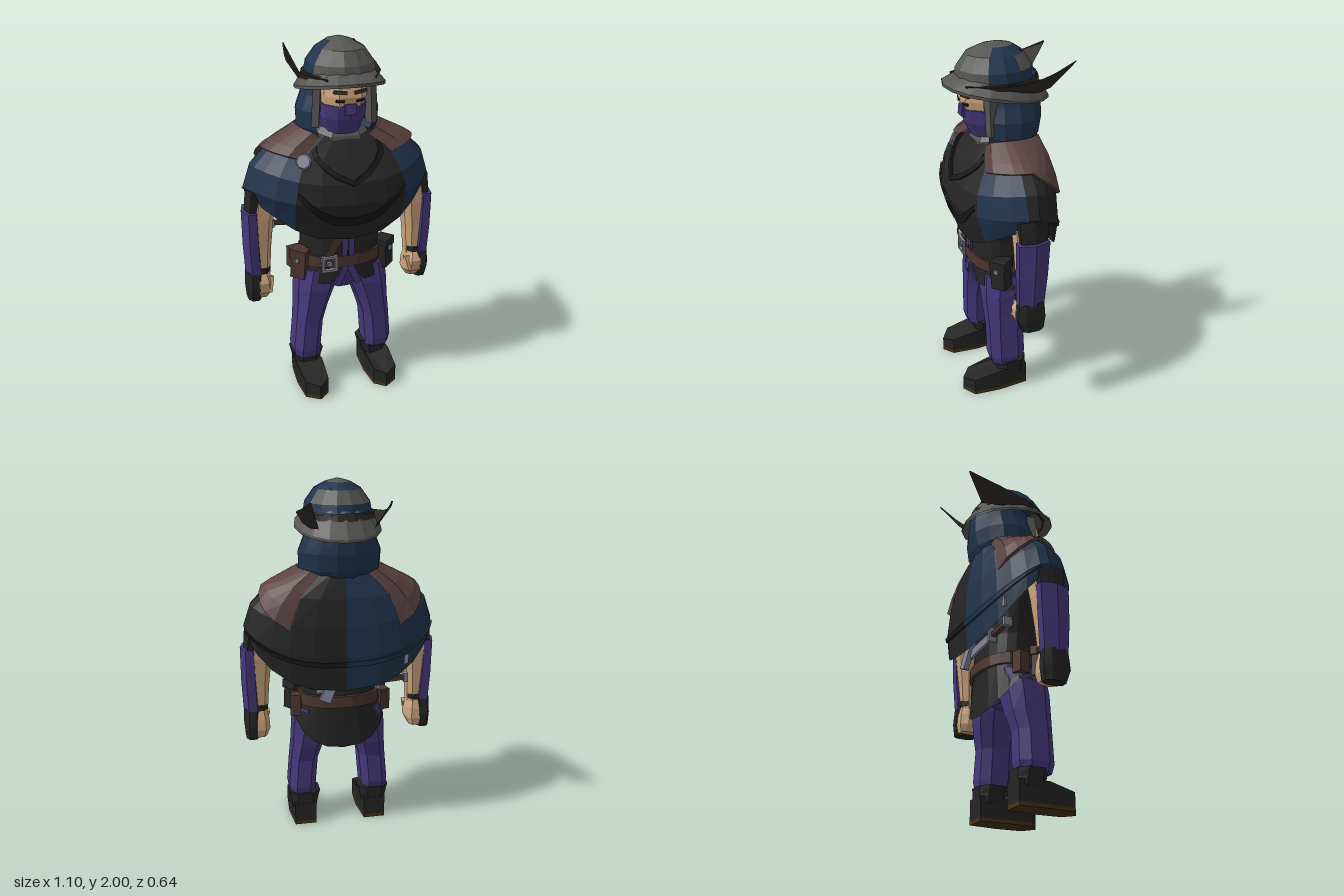
import * as THREE from 'three';

const C = {
  purple: 0x46397c, blue: 0x20344d, black: 0x252525, belt: 0x4a352e, skin: 0xcda57e, pad: 0x5c4242,
  metal: 0x85879a, grey: 0x565654, horn: 0x2d2926, sole: 0x4a3517, dark: 0x181818,
};
const V = (x, y, z) => new THREE.Vector3(x, y, z);
const pw = (v, e) => Math.sign(v) * Math.abs(v) ** e;

export function createModel() {
  const root = new THREE.Group();
  root.name = 'hoodedWarrior';

  const add = (name, geo, color, double = false) => {
    const m = new THREE.Mesh(geo, new THREE.MeshStandardMaterial({
      color, flatShading: true, side: double ? THREE.DoubleSide : THREE.FrontSide,
    }));
    m.name = name;
    root.add(m);
    return m;
  };

  // Surface through rows of points (listed bottom to top); colour may vary per cell
  const surface = (name, rows, color, { closed = true, caps = true, double = false } = {}) => {
    const sets = new Map();
    const tri = (c, ...p) => {
      if (!sets.has(c)) sets.set(c, []);
      p.forEach((q) => sets.get(c).push(q.x, q.y, q.z));
    };
    const col = (i, j) => (typeof color === 'function' ? color(i, j) : color);
    const n = rows[0].length;
    for (let i = 0; i < rows.length - 1; i++) {
      for (let j = 0; j < (closed ? n : n - 1); j++) {
        const k = (j + 1) % n, c = col(i, j);
        tri(c, rows[i][j], rows[i][k], rows[i + 1][k]);
        tri(c, rows[i][j], rows[i + 1][k], rows[i + 1][j]);
      }
    }
    if (closed && caps) {
      [rows[0], rows[rows.length - 1]].forEach((r, top) => {
        const mid = r.reduce((s, p) => s.add(p), V(0, 0, 0)).divideScalar(n);
        r.forEach((p, j) => {
          const q = r[(j + 1) % n], c = col(top ? rows.length - 2 : 0, j);
          if (top) tri(c, mid, p, q); else tri(c, mid, q, p);
        });
      });
    }
    for (const [c, pos] of sets) {
      const g = new THREE.BufferGeometry();
      g.setAttribute('position', new THREE.Float32BufferAttribute(pos, 3));
      g.computeVertexNormals();
      add(name, g, c, double);
    }
  };

  // Ring of points: [y, cx, cz, rx, rz]
  const ring = ([y, cx, cz, rx, rz], n, e) => Array.from({ length: n }, (_, j) => {
    const a = ((j + 0.5) / n) * Math.PI * 2, k = Math.cos(Math.PI / n) ** e;
    return V(cx + (rx * pw(Math.sin(a), e)) / k, y, cz + (rz * pw(Math.cos(a), e)) / k);
  });
  const loft = (name, rings, color, n = 8, e = 0.75) => surface(name, rings.map((r) => ring(r, n, e)), color);
  // Open arc of points between two angles, angle 0 at the front
  const arc = ([y, cz, rx, rz], a0, a1, n) => Array.from({ length: n + 1 }, (_, j) => {
    const a = a0 + ((a1 - a0) * j) / n;
    return V(rx * Math.sin(a), y, cz + rz * Math.cos(a));
  });
  const box = (name, [w, h, d], [x, y, z], color, [rx, ry, rz] = [0, 0, 0]) => {
    const m = add(name, new THREE.BoxGeometry(w, h, d), color);
    m.position.set(x, y, z);
    m.rotation.set(rx, ry, rz);
  };

  for (const s of [1, -1]) {
    // Boots: plan outline raised, top sloping to the toe
    const plan = (h) => {
      const sh = new THREE.Shape([[0.145, -0.05], [0.27, -0.05], [0.285, 0.12], [0.275, 0.27], [0.2, 0.32],
        [0.14, 0.27], [0.13, 0.12]].map(([x, z]) => new THREE.Vector2(s * x, z)));
      return new THREE.ExtrudeGeometry(sh, { depth: h, bevelEnabled: false }).rotateX(Math.PI / 2).translate(0, h, 0);
    };
    const foot = plan(0.1), p = foot.attributes.position;
    for (let i = 0; i < p.count; i++) {
      const z = p.getZ(i);
      p.setY(i, p.getY(i) > 0.05 ? (z > 0.3 ? 0.085 : z > 0.2 ? 0.1 : 0.135) : 0.02);
    }
    add('boot', foot, C.black);
    add('sole', plan(0.02), C.sole);
    loft('bootShaft', [[0.1, s * 0.207, 0.035, 0.07, 0.085], [0.15, s * 0.207, 0.037, 0.08, 0.083],
      [0.195, s * 0.207, 0.04, 0.092, 0.086]], C.black);

    // Legs
    loft('leg', [[0.18, s * 0.215, 0.06, 0.072, 0.09], [0.23, s * 0.217, 0.062, 0.078, 0.102],
      [0.4, s * 0.202, 0.065, 0.078, 0.1], [0.5, s * 0.182, 0.055, 0.088, 0.115],
      [0.62, s * 0.155, 0.05, 0.108, 0.125], [0.74, s * 0.125, 0.04, 0.125, 0.125]], C.purple);

    // Arms, bracers and gloved hands
    loft('arm', [[0.72, s * 0.455, 0.03, 0.045, 0.055], [0.88, s * 0.455, 0.025, 0.055, 0.065],
      [1.05, s * 0.45, 0.02, 0.068, 0.078], [1.18, s * 0.42, 0.02, 0.08, 0.08],
      [1.35, s * 0.36, 0, 0.09, 0.08]], C.skin);
    loft('bracer', [[0.73, s * 0.495, 0.03, 0.042, 0.07], [0.9, s * 0.503, 0.028, 0.042, 0.08],
      [1.1, s * 0.506, 0.025, 0.04, 0.085]], C.purple, 6, 1);
    loft('upperSleeve', [[1.08, s * 0.495, 0.02, 0.035, 0.07], [1.22, s * 0.475, 0.02, 0.045, 0.08]], C.black, 6);
    loft('wristStrap', [[0.735, s * 0.465, 0.03, 0.054, 0.068], [0.765, s * 0.465, 0.03, 0.055, 0.069]], C.black);
    loft('hand', [[0.575, s * 0.455, 0.015, 0.035, 0.05], [0.62, s * 0.455, 0.03, 0.055, 0.074],
      [0.68, s * 0.455, 0.035, 0.052, 0.075], [0.74, s * 0.46, 0.03, 0.042, 0.055]], C.skin);
    loft('glove', [[0.565, s * 0.5, 0.02, 0.036, 0.06], [0.64, s * 0.5, 0.03, 0.042, 0.078],
      [0.74, s * 0.496, 0.03, 0.042, 0.07]], C.black);
    box('thumb', [0.03, 0.09, 0.04], [s * 0.418, 0.66, 0.075], C.skin, [-0.25, 0, s * 0.2]);

    // Hip pouches
    const pc = s > 0 ? C.black : C.belt;
    box('pouch', [0.085, 0.14, 0.08], [s * 0.245, 0.765, 0.1], pc, [0, s * 0.7, s * 0.08]);
    box('pouchFlap', [0.095, 0.05, 0.09], [s * 0.245, 0.84, 0.1], pc, [0, s * 0.7, s * 0.08]);
    box('pouchClasp', [0.022, 0.022, 0.012], [s * 0.275, 0.81, 0.14], C.metal, [0, s * 0.7, 0]);
    box('backPouch', [0.07, 0.12, 0.06], [s * 0.25, 0.76, -0.02], C.belt, [0, s * 1.3, 0]);
  }

  // Tunic with split front and a long rounded back tail
  const hemY = (a) => {
    const c = Math.cos(a);
    if (c > 0.98) return 0.775;
    return c > -0.3 ? 0.665 : 0.67 - 0.15 * (-c - 0.3) / 0.7;
  };
  const tunic = [[0.7, 0, 0.03, 0.265, 0.17], [0.79, 0, 0.03, 0.222, 0.165], [0.95, 0, 0.035, 0.225, 0.16],
    [1.15, 0, 0.03, 0.27, 0.165], [1.35, 0, 0, 0.32, 0.16], [1.48, 0, 0, 0.16, 0.12]].map((r, i) =>
    Array.from({ length: 20 }, (_, j) => {
      const a = (j / 20) * Math.PI * 2;
      return V(r[3] * pw(Math.sin(a), 0.85), i ? r[0] : hemY(a), r[2] + r[4] * pw(Math.cos(a), 0.85));
    }));
  surface('tunic', tunic, C.black, { caps: false, double: true });
  loft('hips', [[0.6, 0, 0.04, 0.06, 0.08], [0.68, 0, 0.04, 0.19, 0.12], [0.77, 0, 0.03, 0.2, 0.14]], C.purple);
  box('shirtFront', [0.07, 0.22, 0.02], [0, 0.87, 0.193], C.purple);
  box('lapelSeam', [0.008, 0.22, 0.01], [0, 0.87, 0.2], C.dark);
  for (const s of [1, -1]) box('shirtTail', [0.035, 0.13, 0.015], [s * 0.035, 0.71, 0.193], C.purple, [0, 0, s * 0.45]);

  // Belt, buckle and strap
  loft('belt', [[0.765, 0, 0.027, 0.235, 0.18], [0.83, 0, 0.027, 0.232, 0.178]], C.belt, 20, 0.85);
  box('strap', [0.045, 0.15, 0.015], [-0.085, 0.88, 0.195], C.belt, [0, 0, -0.5]);
  for (const k of [-1, 1]) {
    box('buckleSide', [0.014, 0.09, 0.02], [-0.11 + k * 0.038, 0.795, 0.207], C.metal);
    box('buckleBar', [0.09, 0.014, 0.02], [-0.11, 0.795 + k * 0.038, 0.207], C.metal);
  }
  box('bucklePin', [0.025, 0.025, 0.02], [-0.11, 0.795, 0.205], C.metal);

  // Daggers across the lower back
  for (const y of [0.92, 1.03]) {
    box('daggerGrip', [0.15, 0.026, 0.026], [-0.265, y, -0.155], C.belt, [0, 0, -0.08]);
    box('daggerPommel', [0.025, 0.05, 0.045], [-0.345, y + 0.007, -0.155], C.metal);
    box('daggerGuard', [0.02, 0.08, 0.045], [-0.185, y - 0.006, -0.16], C.metal);
    box('daggerBlade', [0.34, 0.045, 0.016], [-0.01, y - 0.02, -0.16], C.metal, [0, 0, -0.08]);
  }
  box('sheath', [0.06, 0.17, 0.03], [0.08, 0.9, -0.17], C.metal, [0.1, 0, 0.4]);

  // Cloak: [rx, front rz, back rz, side y, front y, back y], hem to neck
  const keys = [[0.515, 0.25, 0.215, 1.17, 0.95, 0.89], [0.53, 0.31, 0.23, 1.23, 1.17, 1.08],
    [0.49, 0.29, 0.225, 1.35, 1.28, 1.25], [0.4, 0.215, 0.205, 1.44, 1.4, 1.4], [0.19, 0.155, 0.165, 1.54, 1.49, 1.53]];
  const cloak = (a, t, off = 0) => {
    const i = Math.min(3, Math.floor(t * 4)), f = t * 4 - i;
    const [rx, zf, zb, ys, yf, yb] = keys[i].map((v, k) => v + (keys[i + 1][k] - v) * f);
    const c = Math.cos(a), front = c > 0;
    return V((rx + off) * pw(Math.sin(a), 0.78), ys + ((front ? yf : yb) - ys) * Math.abs(c) ** (front ? 2.8 : 1.6) + off * t,
      ((front ? zf : zb) + off) * pw(c, front ? 1.4 - 0.4 * t : 1.1));
  };
  const N = 24;
  const cloakColor = (i, j) => {
    const a = ((j + 0.5) / N) * Math.PI * 2, w = a > Math.PI ? a - Math.PI * 2 : a;
    if (w < -0.6) return C.blue;
    return w > 0.5 && w < 1.25 && i < 3 ? C.blue : C.black;
  };
  surface('cloak', [0, 0.25, 0.5, 0.75, 1].map((t) => Array.from({ length: N }, (_, j) =>
    cloak((j / N) * Math.PI * 2, t))), cloakColor, { caps: false, double: true });
  // Folded bands following the cloak
  const band = (name, a0, a1, tAt, w, color) => surface(name, [[-w, 0], [-w, 0.01], [w, 0.01], [w, 0]].map(([d, o]) =>
    Array.from({ length: 9 }, (_, j) => {
      const a = a0 + ((a1 - a0) * j) / 8;
      return cloak(a, tAt(a) + d, o);
    })), color, { closed: false, double: true });
  band('collarFold', -0.5, 0.5, (a) => 0.5 + 0.7 * Math.abs(a), 0.03, C.dark);
  band('frontFold', -0.5, 0.5, (a) => 0.13 + 0.9 * a * a, 0.03, C.dark);
  band('backFoldLeft', 1.8, Math.PI, () => 0.2, 0.02, C.dark);
  band('backFoldRight', Math.PI, 4.5, () => 0.2, 0.02, C.blue);

  // Shoulder pads, longer behind
  for (const s of [1, -1]) {
    const A = Array.from({ length: 11 }, (_, j) => s * Math.PI / 2 + (j / 5 - 1) * 1.02);
    surface('shoulderPad', [0, 0, 0.33, 0.67, 1, 1].map((f, i) => A.map((a, j) => {
      const back = Math.max(0, -Math.cos(a)), edge = j === 0 || j === 10 || i === 0 || i === 5;
      const t0 = 0.72 - 0.32 * back;
      return cloak(a, t0 + (0.97 - t0) * f, edge ? 0.002 : 0.02);
    })), C.pad, { closed: false, double: true });
  }

  // Brooch
  const brooch = add('brooch', new THREE.CylinderGeometry(0.036, 0.04, 0.025, 8).rotateX(Math.PI / 2), C.metal);
  const rim = add('broochRim', new THREE.TorusGeometry(0.036, 0.008, 4, 8), C.metal);
  for (const m of [brooch, rim]) {
    m.position.set(-0.245, 1.4, 0.2);
    m.rotation.set(-0.4, -0.5, 0);
  }

  // Neck, head, mask and hood
  loft('collar', [[1.42, 0, 0.03, 0.16, 0.14], [1.5, 0, 0.02, 0.15, 0.135], [1.54, 0, 0.02, 0.11, 0.11]], C.grey);
  loft('head', [[1.52, 0, 0.06, 0.08, 0.1], [1.6, 0, 0.06, 0.105, 0.135], [1.72, 0, 0.06, 0.115, 0.165],
    [1.86, 0, 0.04, 0.12, 0.15]], C.skin);
  surface('mask', [[1.52, 0.05, 0.1, 0.125], [1.6, 0.05, 0.13, 0.165], [1.675, 0.055, 0.132, 0.178], [1.68, 0.055, 0.11, 0.15]]
    .map((r) => arc(r, -1.5, 1.5, 6)), C.purple, { closed: false, double: true });
  box('nosePlate', [0.06, 0.055, 0.02], [0, 1.66, 0.223], C.purple, [-0.1, 0, 0]);
  for (const s of [1, -1]) {
    box('eye', [0.045, 0.012, 0.01], [s * 0.055, 1.705, 0.221], C.dark, [0, s * 0.25, s * 0.1]);
    box('brow', [0.07, 0.016, 0.012], [s * 0.055, 1.75, 0.222], C.belt, [0, s * 0.25, s * 0.1]);
    box('cheekStrap', [0.04, 0.21, 0.05], [s * 0.15, 1.66, 0.115], C.grey, [0, s * 0.4, s * 0.05]);
  }
  surface('hood', [[1.48, 0, 0.19, 0.165], [1.54, -0.005, 0.225, 0.185], [1.63, -0.01, 0.228, 0.195], [1.71, -0.015, 0.195, 0.188],
    [1.84, -0.01, 0.165, 0.17]].map((r) => arc(r, 0.75, Math.PI * 2 - 0.75, 11)), C.blue, { closed: false, double: true });

  // Domed hat with patchwork panels
  const H = 14;
  loft('hatDome', [[1.79, 0, 0.04, 0.19, 0.215], [1.88, 0, 0.046, 0.175, 0.195], [1.95, 0, 0.045, 0.125, 0.15],
    [1.985, 0, 0.035, 0.065, 0.085], [2, 0, 0.03, 0.015, 0.02]], (i, j) => {
    const c = Math.cos(((j + 1) / H) * Math.PI * 2);
    return c > 0.55 || i === 3 || (c < -0.6 && i % 2) ? C.grey : C.blue;
  }, H, 1);
  loft('hatBand', [[1.8, 0, 0.04, 0.2, 0.228], [1.83, 0, 0.04, 0.194, 0.22]], C.horn, H, 1);
  box('crownRidge', [0.05, 0.02, 0.1], [0, 1.968, -0.035], C.grey, [-0.4, 0, 0]);
  box('crownSlit', [0.12, 0.015, 0.025], [0, 1.95, -0.075], C.horn, [-0.5, 0, 0]);

  // Brim, dipping at the back
  const brim = (f, dy) => Array.from({ length: 16 }, (_, j) => {
    const a = (j / 16) * Math.PI * 2, c = Math.cos(a), rz = c > 0 ? 0.2 + 0.08 * f : 0.2 + 0.085 * f;
    const low = 1.752 + (c > 0 ? 0.05 : -0.045) * Math.abs(c);
    return V((0.17 + 0.065 * f) * pw(Math.sin(a), 0.95), 1.835 + (low - 1.835) * f + dy, 0.04 + rz * c);
  });
  surface('hatBrim', [brim(0, -0.015), brim(1, -0.008), brim(1, 0.008), brim(0, 0.015)], C.grey, { caps: false, double: true });

  // Thin swept horn blades flaring outward: [z, low x, high x, low y, high y]
  for (const s of [1, -1]) {
    surface('hornBlade', [[0.24, 0.12, 0.13, 1.8, 1.825], [0.1, 0.19, 0.205, 1.785, 1.825], [-0.04, 0.195, 0.232, 1.77, 1.835],
      [-0.14, 0.175, 0.235, 1.765, 1.855], [-0.21, 0.145, 0.226, 1.77, 1.875], [-0.322, 0.2, 0.204, 1.91, 1.916]]
      .map(([z, xl, xh, lo, hi]) => [V(s * xl, lo, z), V(s * (xh + 0.005), hi, z), V(s * (xh - 0.005), hi, z)]),
    C.horn, { double: true });
  }
  return root;
}
